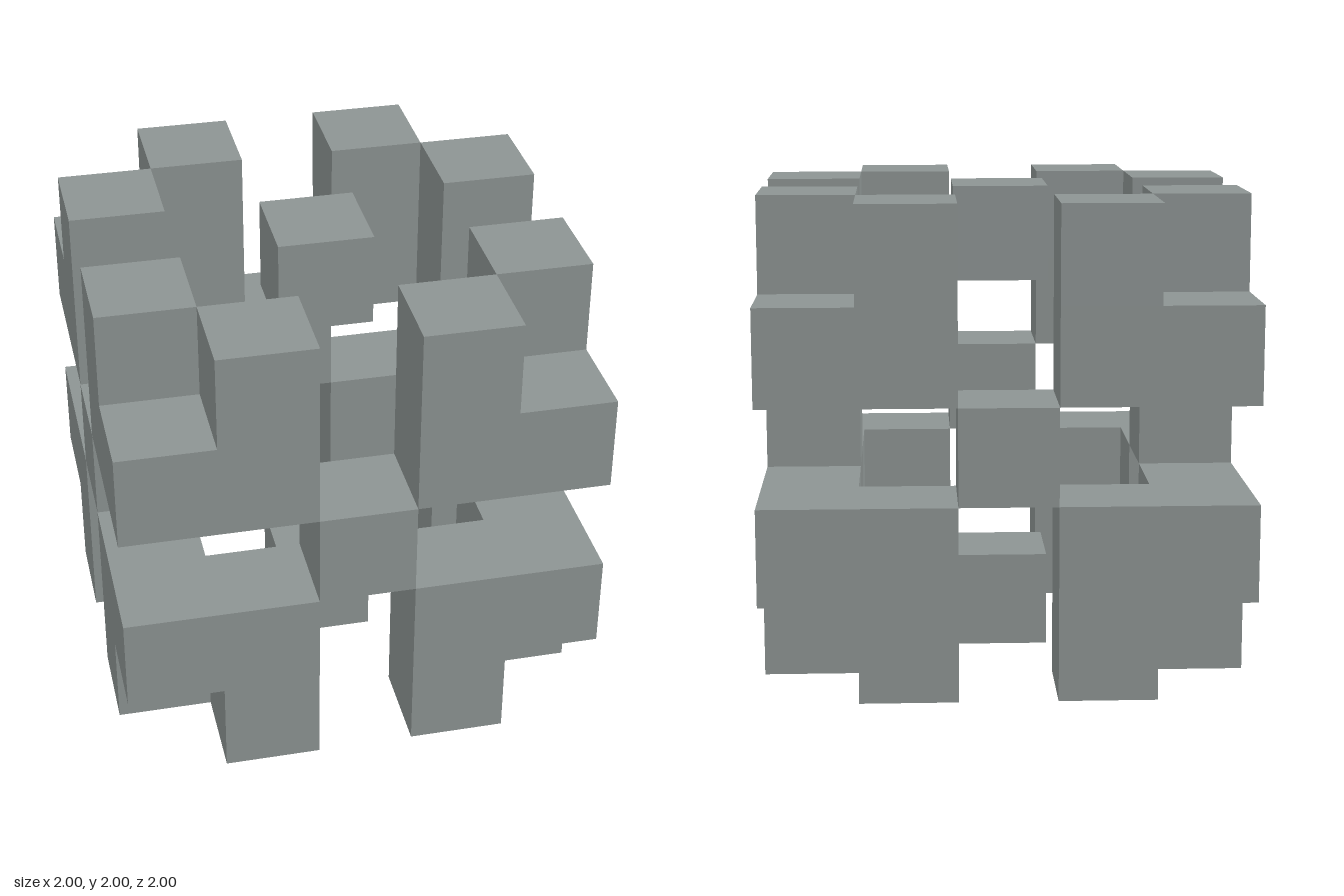
import * as THREE from 'three';
import { mergeGeometries } from 'three/addons/utils/BufferGeometryUtils.js';

const CELL = 0.4; // five cells per side make the 2 unit cube
const SIGNS = [-1, 1];
const material = new THREE.MeshStandardMaterial({ color: 0x8d9493 });

// Merge unit blocks, given by grid positions counted from the centre, into one mesh
function blocks(name, cells) {
  const parts = cells.map(([x, y, z]) =>
    new THREE.BoxGeometry(CELL, CELL, CELL).translate(x * CELL, y * CELL + 1, z * CELL));
  const mesh = new THREE.Mesh(mergeGeometries(parts), material);
  mesh.name = name;
  return mesh;
}

export function createModel() {
  const group = new THREE.Group();
  group.name = 'blockLattice';

  // Eight corner clusters: a flat L with an upright block on the end of each arm
  const corner = [[2, 1, 2], [1, 1, 2], [2, 1, 1], [1, 2, 2], [2, 2, 1]];
  for (const sx of SIGNS) for (const sy of SIGNS) for (const sz of SIGNS) {
    const name = `${sy > 0 ? 'upper' : 'lower'}${sz > 0 ? 'Front' : 'Back'}${sx > 0 ? 'Left' : 'Right'}Corner`;
    group.add(blocks(name, corner.map(([x, y, z]) => [x * sx, y * sy, z * sz])));
  }

  // A single block in the middle of each of the six faces
  const faces = {
    left: [2, 0, 0], right: [-2, 0, 0], top: [0, 2, 0],
    bottom: [0, -2, 0], front: [0, 0, 2], back: [0, 0, -2],
  };
  for (const [side, cell] of Object.entries(faces)) group.add(blocks(`${side}FaceBlock`, [cell]));

  return group;
}
